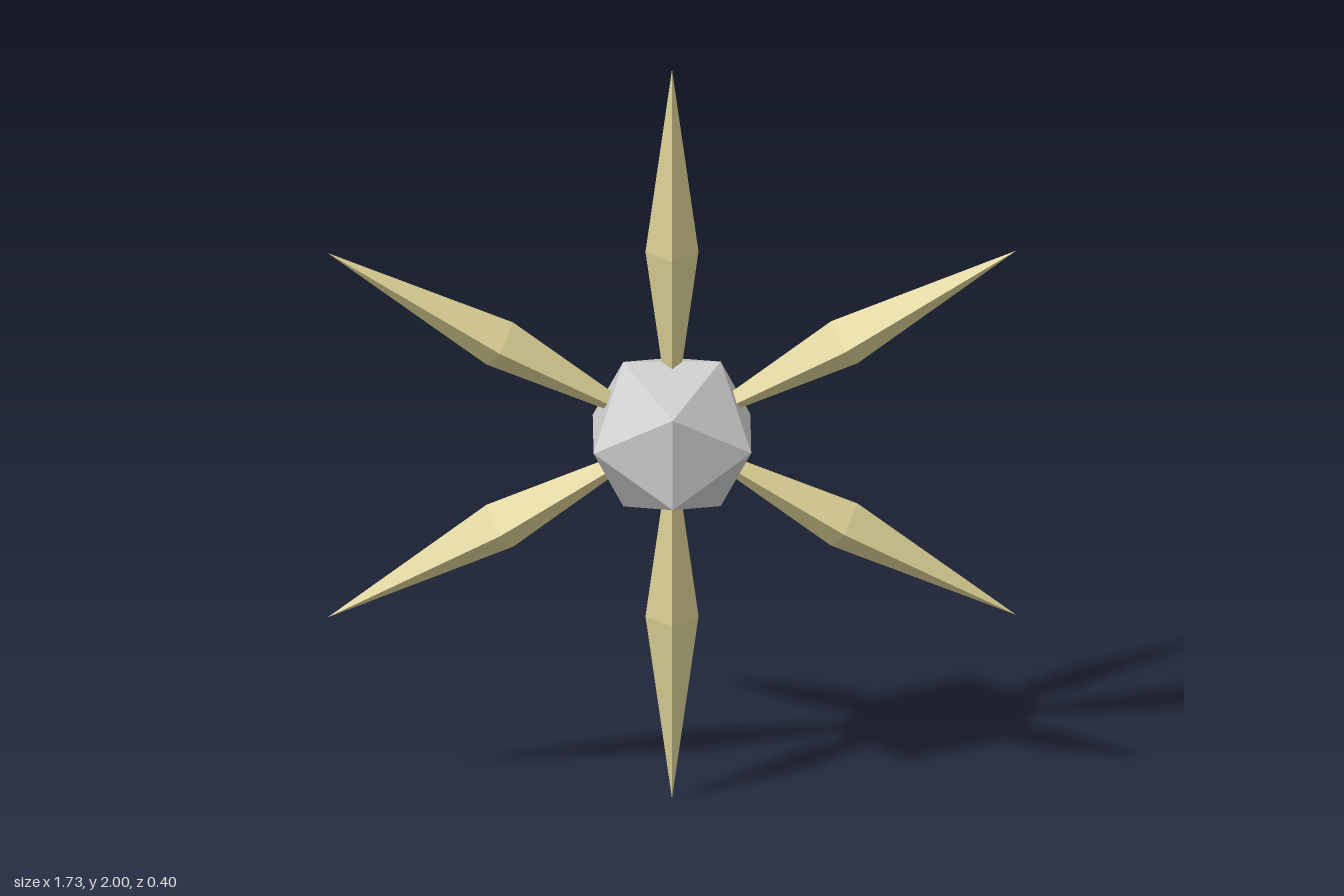
import * as THREE from 'three';

export function createModel() {
  const model = new THREE.Group();
  model.name = 'spikedStar';

  const stone = new THREE.MeshStandardMaterial({ color: 0xcccccc });
  stone.name = 'pale grey';
  const bone = new THREE.MeshStandardMaterial({ color: 0xd8cd92 });
  bone.name = 'pale khaki';

  // Faceted core
  const core = new THREE.Mesh(new THREE.IcosahedronGeometry(0.233, 0), stone);
  core.name = 'core';
  core.position.y = 1;
  model.add(core);

  // Stretched octahedron pointing outwards, its inner tip at the centre of the core
  const spikeGeometry = new THREE.OctahedronGeometry(1, 0);
  spikeGeometry.scale(0.0667, 0.5, 0.0667);
  spikeGeometry.translate(0, 0.5, 0);

  // Six spikes spaced evenly in the upright plane
  for (let i = 0; i < 6; i++) {
    const spike = new THREE.Mesh(spikeGeometry, bone);
    spike.name = `spike${i + 1}`;
    spike.position.y = 1;
    spike.rotation.z = (i * Math.PI) / 3;
    model.add(spike);
  }

  return model;
}
